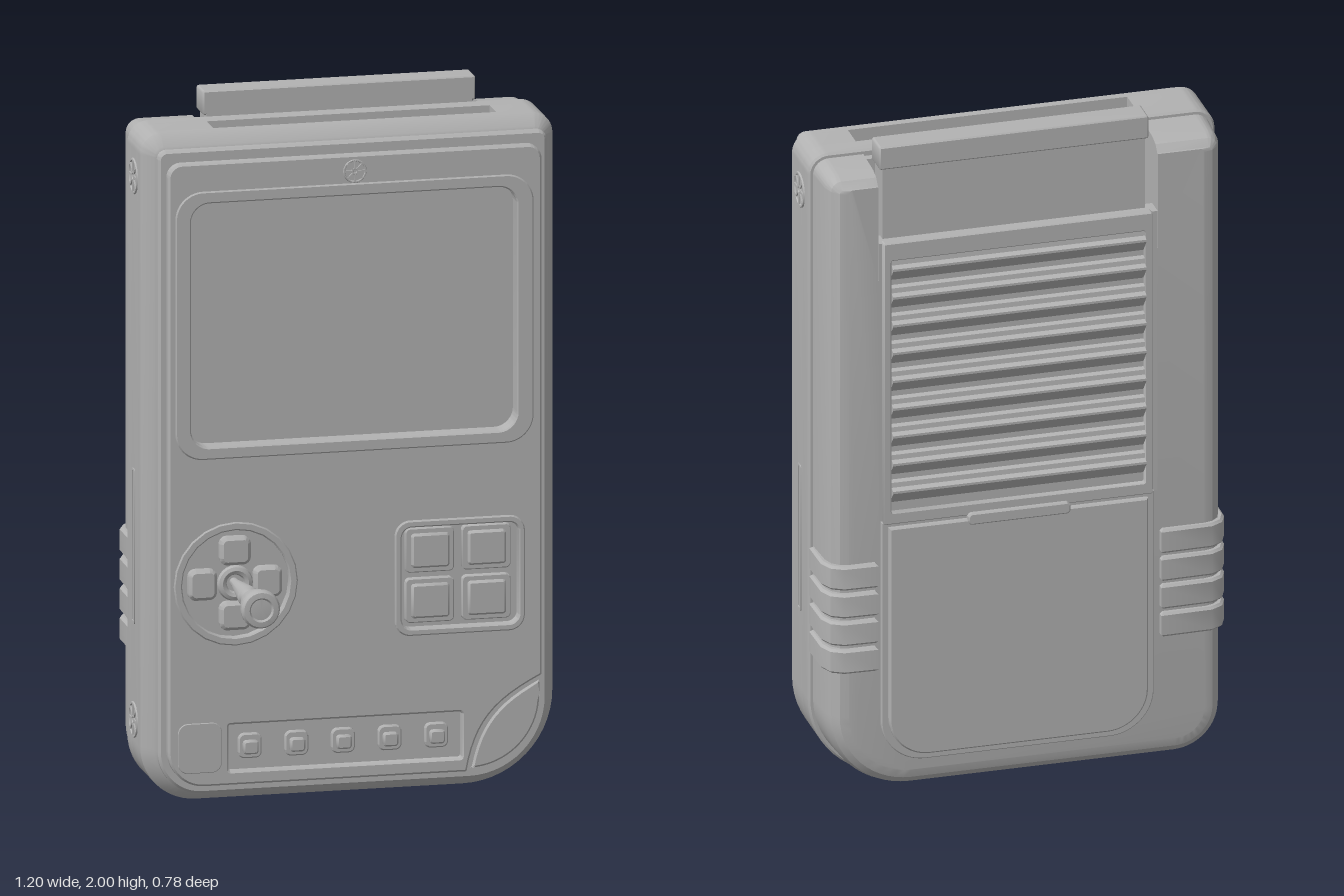
import * as THREE from 'three';
import { toCreasedNormals, mergeGeometries } from 'three/addons/utils/BufferGeometryUtils.js';

const shellGrey = new THREE.MeshStandardMaterial({ color: 0xb2b2b2 });
shellGrey.name = 'shell grey';

function add(parent, name, geo, crease = 0.6) {
  const mesh = new THREE.Mesh(toCreasedNormals(geo, crease), shellGrey);
  mesh.name = name;
  parent.add(mesh);
  return mesh;
}

// Counter-clockwise case outline, with optional notches in the top and bottom edges
function outline(inset, top, bottom) {
  const s = new THREE.Shape();
  const X = 0.597 - inset, y0 = inset, y1 = 1.94 - Math.min(inset, 0.05);
  const corner = (sx, y, r, a) => {
    const R = Math.max(r - inset, 0.012);
    s.absarc(sx * (X - R), y + (y > 1 ? -R : R), R, a, a + Math.PI / 2);
  };
  corner(-1, y0, 0.16, Math.PI);
  if (bottom) for (const [x, y] of [[bottom[0], y0], [bottom[0], bottom[2]], [bottom[1], bottom[2]], [bottom[1], y0]]) s.lineTo(x, y);
  corner(1, y0, 0.26, Math.PI * 1.5);
  corner(1, y1, 0.06, 0);
  if (top) for (const [x, y] of [[top[1], y1], [top[1], top[2]], [top[0], top[2]], [top[0], y1]]) s.lineTo(x, y);
  corner(-1, y1, 0.06, Math.PI / 2);
  const pts = s.getPoints(7);
  if (pts[0].distanceTo(pts[pts.length - 1]) < 1e-6) pts.pop();
  return pts;
}

// Capped skin through outlines given as [z, inset], from back to front
function loft(layers, top, bottom) {
  const rings = layers.map(([z, inset]) => outline(inset, top, bottom).map(p => new THREE.Vector3(p.x, p.y, z)));
  const n = rings[0].length, pos = [];
  const tri = (...v) => v.forEach(p => pos.push(p.x, p.y, p.z));
  for (let k = 0; k < rings.length - 1; k++) {
    for (let i = 0; i < n; i++) {
      const j = (i + 1) % n, A = rings[k], B = rings[k + 1];
      tri(A[i], A[j], B[j]);
      tri(A[i], B[j], B[i]);
    }
  }
  const back = rings[0], front = rings[rings.length - 1];
  const faces = ring => THREE.ShapeUtils.triangulateShape(ring.map(p => new THREE.Vector2(p.x, p.y)), []);
  for (const [a, b, c] of faces(front)) tri(front[a], front[b], front[c]);
  for (const [a, b, c] of faces(back)) tri(back[a], back[c], back[b]);
  const g = new THREE.BufferGeometry();
  g.setAttribute('position', new THREE.Float32BufferAttribute(pos, 3));
  return g;
}

// Rounded rectangle shape
function rr(x0, y0, x1, y1, r) {
  const s = new THREE.Shape();
  s.absarc(x0 + r, y0 + r, r, Math.PI, Math.PI * 1.5);
  s.absarc(x1 - r, y0 + r, r, Math.PI * 1.5, Math.PI * 2);
  s.absarc(x1 - r, y1 - r, r, 0, Math.PI / 2);
  s.absarc(x0 + r, y1 - r, r, Math.PI / 2, Math.PI);
  s.closePath();
  return s;
}
const disc = (x, y, r) => new THREE.Shape().absarc(x, y, r, 0, Math.PI * 2);
const screenHole = () => rr(-0.475, 1.045, 0.47, 1.755, 0.055);

// Box between two corners
const block = (x0, y0, z0, x1, y1, z1) => new THREE.BoxGeometry(x1 - x0, y1 - y0, z1 - z0)
  .translate((x0 + x1) / 2, (y0 + y1) / 2, (z0 + z1) / 2);

// Bevelled slab between two z values
function slab(shape, z0, z1, bevel = 0, holes = []) {
  shape.holes.push(...holes);
  const g = new THREE.ExtrudeGeometry(shape, {
    depth: z1 - z0 - 2 * bevel, bevelEnabled: bevel > 0, bevelThickness: bevel,
    bevelSize: bevel, bevelOffset: -bevel, bevelSegments: 1, curveSegments: 12,
  });
  return g.translate(0, 0, z0 + bevel);
}

// Round screw head with eight spokes, facing +z
function screw(r) {
  const parts = [new THREE.TorusGeometry(r * 0.92, r * 0.09, 6, 20), new THREE.TorusGeometry(r * 0.22, r * 0.09, 6, 12)];
  for (let i = 0; i < 8; i++) {
    parts.push(new THREE.BoxGeometry(r * 0.65, r * 0.14, 0.008).translate(r * 0.58, 0, 0).rotateZ(i * Math.PI / 4));
  }
  return mergeGeometries(parts);
}

export function createModel() {
  const model = new THREE.Group();
  model.name = 'handheldConsole';

  // Front shell: slotted middle slab between two solid slabs
  add(model, 'frontShellBack', loft([[-0.2, 0.006], [-0.194, 0], [-0.14, 0]]));
  add(model, 'frontShellMiddle', loft([[-0.14, 0], [-0.06, 0]], [-0.38, 0.44, 1.9], [-0.31, 0.31, 0.02]));
  add(model, 'frontShellFront', loft([[-0.06, 0], [-0.035, 0], [0, 0.032], [0.005, 0.05]]));
  add(model, 'frontGroove', slab(new THREE.Shape(outline(0.05)), 0.004, 0.024, 0, [screenHole()]));
  add(model, 'frontRim', slab(new THREE.Shape(outline(0.034)), 0.015, 0.045, 0.007, [screenHole()]));
  add(model, 'topSlotRail', block(-0.35, 1.895, -0.106, 0.41, 1.915, -0.094));
  for (const x of [-0.19, 0, 0.19]) {
    add(model, 'bottomSocket', slab(rr(x - 0.08, 0.07, x + 0.08, 0.13, 0.012), 0, 0.018, 0.003,
      [rr(x - 0.06, 0.085, x + 0.06, 0.115, 0.008)]).rotateX(-Math.PI / 2).translate(0, 0.003, 0));
  }

  // Rear shell, open at the top for the cartridge
  add(model, 'rearShell', loft([[-0.355, 0.075], [-0.348, 0.05], [-0.33, 0.03], [-0.3, 0.02], [-0.2, 0.014]],
    [-0.385, 0.435, 1.6]), 0.4);
  add(model, 'cartridgeBayWall', block(-0.39, 1.59, -0.224, 0.44, 1.92, -0.19));

  // Cartridge
  add(model, 'cartridgeBody', block(-0.355, 1.58, -0.325, 0.415, 1.94, -0.25));
  add(model, 'cartridgeTop', slab(rr(-0.365, 1.93, 0.425, 2, 0.006), -0.33, -0.25, 0.004));

  // Louvred back panel
  add(model, 'louvreBase', block(-0.384, 0.85, -0.356, 0.434, 1.715, -0.3));
  add(model, 'louvreFrame', slab(rr(-0.365, 0.85, 0.425, 1.72, 0.005), -0.374, -0.345, 0.003,
    [rr(-0.342, 0.885, 0.402, 1.665, 0.005)]));
  for (let i = 0; i < 9; i++) {
    const y = 0.957 + i * 0.086;
    // Profile x runs towards the back once turned
    const profile = new THREE.Shape([[0.352, y - 0.05], [0.374, y - 0.024], [0.388, y - 0.007], [0.388, y], [0.372, y + 0.006], [0.37, y + 0.02], [0.352, y + 0.026]]
      .map(([z, h]) => new THREE.Vector2(z, h)));
    add(model, 'louvreSlat', slab(profile, -0.342, 0.402).rotateY(Math.PI / 2), 0.25);
  }

  // Battery cover with a latch
  const cover = new THREE.Shape();
  cover.moveTo(-0.35, 0.84).lineTo(-0.35, 0.25);
  cover.absarc(-0.23, 0.25, 0.12, Math.PI, Math.PI * 1.5);
  cover.absarc(0.29, 0.25, 0.12, Math.PI * 1.5, Math.PI * 2);
  cover.lineTo(0.41, 0.84);
  add(model, 'batteryCover', slab(cover, -0.38, -0.34, 0.005));
  const rim = new THREE.Shape();
  rim.moveTo(-0.37, 0.855).lineTo(-0.37, 0.24);
  rim.absarc(-0.24, 0.24, 0.13, Math.PI, Math.PI * 1.5);
  rim.absarc(0.3, 0.24, 0.13, Math.PI * 1.5, Math.PI * 2);
  rim.lineTo(0.43, 0.855);
  add(model, 'batteryRim', slab(rim, -0.366, -0.33, 0.003));
  add(model, 'batteryLatch', slab(rr(-0.12, 0.825, 0.18, 0.86, 0.012), -0.388, -0.36, 0.004));

  for (const s of [-1, 1]) {
    // Grip ribs wrapped round the rear side edges
    const inner = s < 0 ? 0.39 : 0.44;
    const rib = [[0.54, 0.2], [0.594, 0.2], [0.592, 0.31], [0.575, 0.35], [0.54, 0.37], [inner, 0.373], [inner, 0.32], [0.54, 0.32]];
    for (let i = 0; i < 4; i++) {
      const shape = new THREE.Shape(rib.map(([x, z]) => new THREE.Vector2(s * x, z)));
      add(model, 'gripRib', slab(shape, 0, 0.074, 0.007).rotateX(-Math.PI / 2).translate(0, 0.4 + i * 0.086, 0));
    }
    // Side slot and screws
    const slot = slab(rr(0.1, 0.5, 0.13, 0.95, 0.006), 0, 0.006, 0, [rr(0.106, 0.507, 0.124, 0.943, 0.004)]);
    add(model, 'sideSlot', slot.rotateY(s * Math.PI / 2).translate(s * 0.594, 0, s > 0 ? 0 : -0.23));
    for (const y of s < 0 ? [1.8, 0.22] : [1.8]) {
      add(model, 'sideScrew', screw(0.052).rotateY(s * Math.PI / 2).translate(s * 0.597, y, -0.115));
    }
  }

  // Face plate with openings and a cut lower corner
  const face = new THREE.Shape();
  face.absarc(-0.435, 0.165, 0.105, Math.PI, Math.PI * 1.5);
  face.lineTo(0.325, 0.06);
  face.bezierCurveTo(0.35, 0.2, 0.4, 0.26, 0.542, 0.33);
  face.absarc(0.502, 1.832, 0.04, 0, Math.PI / 2);
  face.absarc(-0.5, 1.832, 0.04, Math.PI / 2, Math.PI);
  face.closePath();
  const px = -0.345, py = 0.645;
  add(model, 'facePlate', slab(face, 0.035, 0.07, 0.006, [
    screenHole(), disc(px, py, 0.158),
    rr(-0.365, 0.1, 0.31, 0.235, 0.006), rr(0.135, 0.485, 0.475, 0.78, 0.03)]));
  const wedge = new THREE.Shape();
  wedge.moveTo(0.345, 0.07).bezierCurveTo(0.37, 0.19, 0.42, 0.25, 0.54, 0.31);
  wedge.lineTo(0.54, 0.26).absarc(0.34, 0.265, 0.2, 0, -Math.PI / 2, true);
  add(model, 'cornerWedge', slab(wedge, 0.03, 0.051, 0.006));
  add(model, 'cornerTile', slab(rr(-0.513, 0.1, -0.385, 0.245, 0.03), 0.06, 0.073, 0.002));
  add(model, 'frontScrew', screw(0.034).translate(0, 1.825, 0.071));

  // Sunken screen with a raised bezel
  add(model, 'screen', slab(rr(-0.48, 1.04, 0.475, 1.76, 0.05), 0, 0.018));
  add(model, 'screenBezel', slab(rr(-0.52, 1.01, 0.518, 1.79, 0.08), 0.06, 0.074, 0.004, [screenHole()]));

  // Direction pad and stick
  add(model, 'padRing', slab(disc(px, py, 0.18), 0.06, 0.074, 0.004, [disc(px, py, 0.156)]));
  for (let i = 0; i < 4; i++) {
    add(model, 'padButton', slab(rr(0.053, -0.045, 0.136, 0.045, 0.022), 0.04, 0.074, 0.01)
      .rotateZ(i * Math.PI / 2).translate(px, py, 0));
  }
  add(model, 'stickCollar', new THREE.TorusGeometry(0.038, 0.014, 8, 24).translate(px, py, 0.06));
  const stick = [[0, 0.04], [0.012, 0.04], [0.013, 0.07], [0.031, 0.222], [0.031, 0.226], [0.026, 0.232], [0.026, 0.272],
    [0.037, 0.287], [0.056, 0.366], [0.056, 0.378], [0.05, 0.388], [0.035, 0.39], [0.03, 0.384], [0, 0.384]];
  add(model, 'stick', new THREE.LatheGeometry(stick.map(([r, z]) => new THREE.Vector2(r, z)), 24)
    .rotateX(Math.PI / 2).translate(px, py, 0), 0.3);

  // Four action buttons in a framed panel
  add(model, 'buttonPanel', slab(rr(0.115, 0.465, 0.492, 0.8, 0.045), 0.06, 0.077, 0.004, [rr(0.135, 0.485, 0.475, 0.78, 0.03)]));
  for (const x of [0.152, 0.316]) for (const y of [0.502, 0.648]) {
    add(model, 'actionFrame', slab(rr(x - 0.003, y - 0.003, x + 0.138, y + 0.126, 0.014), 0.04, 0.062, 0.003));
    add(model, 'actionButton', slab(rr(x + 0.012, y + 0.012, x + 0.123, y + 0.111, 0.01), 0.05, 0.074, 0.006));
  }

  // Row of five small buttons
  for (let i = 0; i < 5; i++) {
    const x = -0.3 + i * 0.135;
    add(model, 'menuButtonBase', slab(rr(x - 0.034, 0.132, x + 0.034, 0.204, 0.018), 0.04, 0.058, 0.004));
    add(model, 'menuButton', slab(rr(x - 0.022, 0.146, x + 0.022, 0.186, 0.01), 0.05, 0.073, 0.005));
  }
  return model;
}
